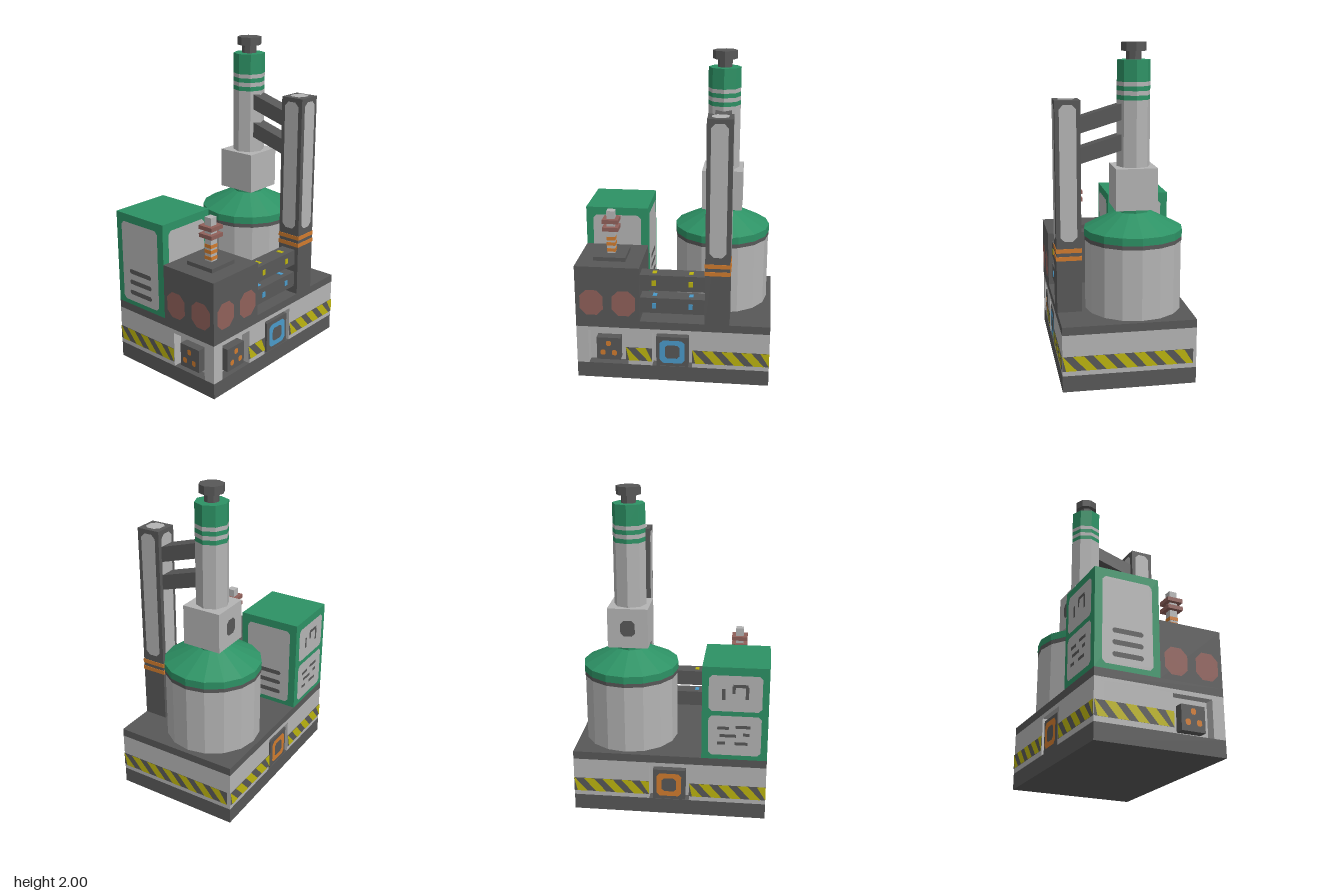
import * as THREE from 'three';

const mat = (name, color) => {
  const m = new THREE.MeshStandardMaterial({ color });
  m.name = name;
  m.flatShading = true;
  return m;
};

export function createModel() {
  const root = new THREE.Group();
  root.name = 'processingPlant';
  const dark = mat('darkMetal', 0x585858), light = mat('lightMetal', 0xb4b4b4);
  const green = mat('greenPaint', 0x2d9265), red = mat('dullRed', 0x90605a);
  const orange = mat('orange', 0xd07b2e), blue = mat('blue', 0x4a9aca);
  const yellow = mat('yellow', 0xbcb410);

  const add = (name, geo, m, x = 0, y = 0, z = 0, parent = root) => {
    const mesh = new THREE.Mesh(geo, m);
    mesh.name = name;
    mesh.position.set(x, y, z);
    parent.add(mesh);
    return mesh;
  };
  // Box given by its limits on each axis
  const box = (name, m, x0, x1, y0, y1, z0, z1) =>
    add(name, new THREE.BoxGeometry(x1 - x0, y1 - y0, z1 - z0), m, (x0 + x1) / 2, (y0 + y1) / 2, (z0 + z1) / 2);
  const drum = (name, m, r0, r1, y0, y1, sides, x, z) =>
    add(name, new THREE.CylinderGeometry(r1, r0, y1 - y0, sides), m, x, (y0 + y1) / 2, z);

  // Flat shapes for painted details
  const poly = (pts) => new THREE.Shape(pts.map(([x, y]) => new THREE.Vector2(x, y)));
  const corners = (w, h, c) => {
    const a = w / 2, b = h / 2;
    return [[-a + c, -b], [a - c, -b], [a, -b + c], [a, b - c], [a - c, b], [-a + c, b], [-a, b - c], [-a, -b + c]];
  };
  const plate = (w, h, c = 0.002) => poly(corners(w, h, c));
  const ring = (outer, inner) => {
    const s = plate(outer, outer, 0.02);
    s.holes.push(poly(corners(inner, inner, 0.015)));
    return s;
  };
  // A wall of a box-like part: u runs to the viewer's right, v is height
  const FRONT = 0, RIGHT = Math.PI / 2, BACK = Math.PI, LEFT = -Math.PI / 2;
  const wall = (name, angle, x, z) => {
    const g = new THREE.Group();
    g.name = name;
    g.position.set(x, 0, z);
    g.rotation.y = angle;
    root.add(g);
    return (part, shape, m, u, v, lift = 0.003) => add(part, new THREE.ShapeGeometry(shape), m, u, v, lift, g);
  };

  // Base with recessed niches
  box('baseFoot', dark, -0.6, 0.6, 0, 0.1, -0.4, 0.4);
  box('baseCore', light, -0.54, 0.54, 0.1, 0.33, -0.34, 0.34);
  box('baseHeader', light, -0.6, 0.6, 0.325, 0.35, -0.4, 0.4);
  box('baseDeck', dark, -0.6, 0.6, 0.35, 0.4, -0.4, 0.4);
  for (const [a, b] of [[-0.6, -0.525], [-0.275, -0.125], [0.125, 0.6]])
    box('baseFrontWall', light, a, b, 0.1, 0.325, 0.34, 0.4);
  for (const [a, b] of [[-0.6, -0.125], [0.125, 0.6]])
    box('baseBackWall', light, a, b, 0.1, 0.325, -0.4, -0.34);
  for (const [a, b] of [[-0.34, 0.075], [0.325, 0.34]])
    box('baseLeftWall', light, -0.6, -0.54, 0.1, 0.325, a, b);
  box('baseRightWall', light, 0.54, 0.6, 0.1, 0.325, -0.34, 0.34);

  const baseFront = wall('baseFront', FRONT, 0, 0.4), baseBack = wall('baseBack', BACK, 0, -0.4);
  const baseRight = wall('baseRight', RIGHT, 0.6, 0), baseLeft = wall('baseLeft', LEFT, -0.6, 0);

  // Hazard stripes
  const hazard = (face, u0, u1) => {
    face('hazardBand', plate(u1 - u0, 0.09), dark, (u0 + u1) / 2, 0.175);
    const c = (u) => Math.min(u1, Math.max(u0, u));
    for (let u = u0 - 0.06; u < u1 - 0.01; u += 0.12)
      face('hazardStripe', poly([[c(u + 0.08), 0.13], [c(u + 0.145), 0.13], [c(u + 0.065), 0.22], [c(u), 0.22]]), yellow, 0, 0, 0.005);
  };
  hazard(baseFront, -0.29, -0.125);
  hazard(baseFront, 0.125, 0.6);
  hazard(baseRight, -0.4, 0.38);
  hazard(baseBack, -0.6, -0.125);
  hazard(baseBack, 0.125, 0.6);
  hazard(baseLeft, -0.4, 0.075);

  // Control screens front and back, sockets front and left
  box('frontScreenBox', dark, -0.1, 0.1, 0.1, 0.3, 0.33, 0.396);
  box('backScreenBox', dark, -0.1, 0.1, 0.1, 0.3, -0.396, -0.33);
  baseFront('blueScreen', ring(0.155, 0.09), blue, 0, 0.2, 0);
  baseBack('orangeScreen', ring(0.155, 0.09), orange, 0, 0.2, 0);
  box('frontSocket', dark, -0.475, -0.325, 0.125, 0.275, 0.33, 0.396);
  box('leftSocket', dark, -0.596, -0.53, 0.125, 0.275, 0.125, 0.275);
  for (const [face, u] of [[baseFront, -0.4], [baseLeft, 0.2]])
    for (const [du, v] of [[0, 0.238], [-0.036, 0.175], [0.036, 0.175]])
      face('socketPin', plate(0.032, 0.036, 0.008), orange, u + du, v, 0);

  // Machine block with round ports
  box('machineBlock', dark, -0.6, -0.2, 0.4, 0.75, 0, 0.4);
  const blockLeft = wall('blockLeft', LEFT, -0.6, 0);
  for (const s of [-1, 1]) {
    baseFront('redPort', plate(0.145, 0.165, 0.04), red, -0.4 + s * 0.1, 0.515);
    blockLeft('redPort', plate(0.145, 0.165, 0.04), red, 0.2 + s * 0.1, 0.515);
  }

  // Insulator mast
  box('mastPlate', dark, -0.5, -0.3, 0.75, 0.775, 0.1, 0.3);
  box('mast', light, -0.425, -0.375, 0.775, 1.05, 0.175, 0.225);
  for (const y of [0.785, 0.825, 0.86]) box('mastBand', orange, -0.427, -0.373, y, y + 0.022, 0.173, 0.227);
  for (const y of [0.925, 0.975]) box('insulatorDisc', red, -0.45, -0.35, y, y + 0.025, 0.15, 0.25);

  // Cabinet with inset panels and vents
  box('cabinet', green, -0.6, -0.2, 0.4, 1, -0.4, 0);
  const cabFront = wall('cabinetFront', FRONT, -0.4, 0), cabBack = wall('cabinetBack', BACK, -0.4, -0.4);
  const cabLeft = wall('cabinetLeft', LEFT, -0.6, -0.2), cabRight = wall('cabinetRight', RIGHT, -0.2, -0.2);
  cabFront('cabinetPanel', plate(0.31, 0.5, 0.02), light, 0, 0.7);
  for (const side of [cabLeft, cabRight]) {
    side('cabinetPanel', plate(0.31, 0.52, 0.02), light, 0, 0.69);
    for (const v of [0.49, 0.56, 0.63]) side('ventSlit', plate(0.19, 0.03, 0.01), dark, 0, v, 0.005);
  }
  cabBack('upperPanel', plate(0.32, 0.23, 0.02), light, 0, 0.835);
  cabBack('lowerPanel', plate(0.32, 0.26, 0.02), light, 0, 0.56);
  const marks = [[-0.07, 0.83, 0.02, 0.07], [-0.01, 0.86, 0.02, 0.05], [0.03, 0.885, 0.09, 0.02], [0.07, 0.84, 0.02, 0.08],
    [-0.07, 0.61, 0.07, 0.02], [0.05, 0.62, 0.09, 0.02], [-0.04, 0.56, 0.1, 0.02], [0.07, 0.57, 0.04, 0.02],
    [-0.08, 0.51, 0.05, 0.02], [0.04, 0.51, 0.08, 0.02]];
  for (const [u, v, w, h] of marks) cabBack('serviceSlot', plate(w, h), dark, u, v, 0.005);

  // Storage tank
  const TX = 0.275, TZ = -0.075;
  drum('tankBody', light, 0.295, 0.295, 0.4, 0.83, 16, TX, TZ);
  drum('tankSeam', dark, 0.298, 0.298, 0.83, 0.855, 16, TX, TZ);
  drum('tankRim', green, 0.3, 0.3, 0.855, 0.9, 16, TX, TZ);
  drum('tankCone', green, 0.3, 0.1, 0.9, 1, 16, TX, TZ);
  drum('tankNeck', green, 0.1, 0.1, 1, 1.03, 8, TX, TZ);
  box('valveBox', light, 0.15, 0.4, 1.025, 1.275, TZ - 0.125, TZ + 0.125);
  wall('valveBack', BACK, TX, TZ - 0.125)('valvePort', plate(0.09, 0.1, 0.02), dark, 0, 1.15);

  // Chimney with coloured bands and cap
  const bands = [[1.275, 1.67, light], [1.67, 1.697, green], [1.697, 1.723, light], [1.723, 1.75, green],
    [1.75, 1.775, light], [1.775, 1.9, green]];
  for (const [a, b, m] of bands) drum('chimneySection', m, 0.1, 0.1, a, b, 8, TX, TZ);
  drum('chimneyNeck', dark, 0.045, 0.045, 1.9, 1.95, 8, TX, TZ);
  drum('chimneyCap', dark, 0.075, 0.075, 1.95, 2, 8, TX, TZ);

  // Support pillar with panels and orange bands
  const PZ = 0.325;
  box('pillar', dark, 0.2, 0.35, 0.4, 1.675, 0.25, 0.4);
  for (const y of [0.722, 0.77]) box('pillarBand', orange, 0.197, 0.353, y, y + 0.026, 0.247, 0.403);
  for (const a of [FRONT, RIGHT, BACK, LEFT])
    wall('pillarSide', a, TX + Math.sin(a) * 0.075, PZ + Math.cos(a) * 0.075)('pillarPanel', plate(0.1, 0.81, 0.025), light, 0, 1.245);
  add('pillarTopPanel', new THREE.ShapeGeometry(plate(0.1, 0.1, 0.025)), light, TX, 1.678, PZ).rotation.x = -Math.PI / 2;

  // Slanted arms from pillar to chimney
  for (const y of [1.3, 1.48]) {
    const arm = poly([[-0.25, y], [0.02, y + 0.081], [0.02, y + 0.176], [-0.25, y + 0.095]]);
    const geo = new THREE.ExtrudeGeometry(arm, { depth: 0.1, bevelEnabled: false });
    add('supportArm', geo, dark, 0.225, 0, 0).rotation.y = Math.PI / 2;
  }

  // Pipes between block and pillar, with indicator lights
  for (const [y, m] of [[0.6, yellow], [0.45, blue]]) {
    box('pipe', dark, -0.2, 0.2, y, y + 0.1, 0.275, 0.375);
    for (const x of [-0.113, 0.112]) {
      box('frontIndicator', m, x - 0.013, x + 0.013, y + 0.033, y + 0.067, 0.37, 0.379);
      box('topIndicator', m, x - 0.013, x + 0.013, y + 0.095, y + 0.104, 0.305, 0.345);
    }
  }
  return root;
}
